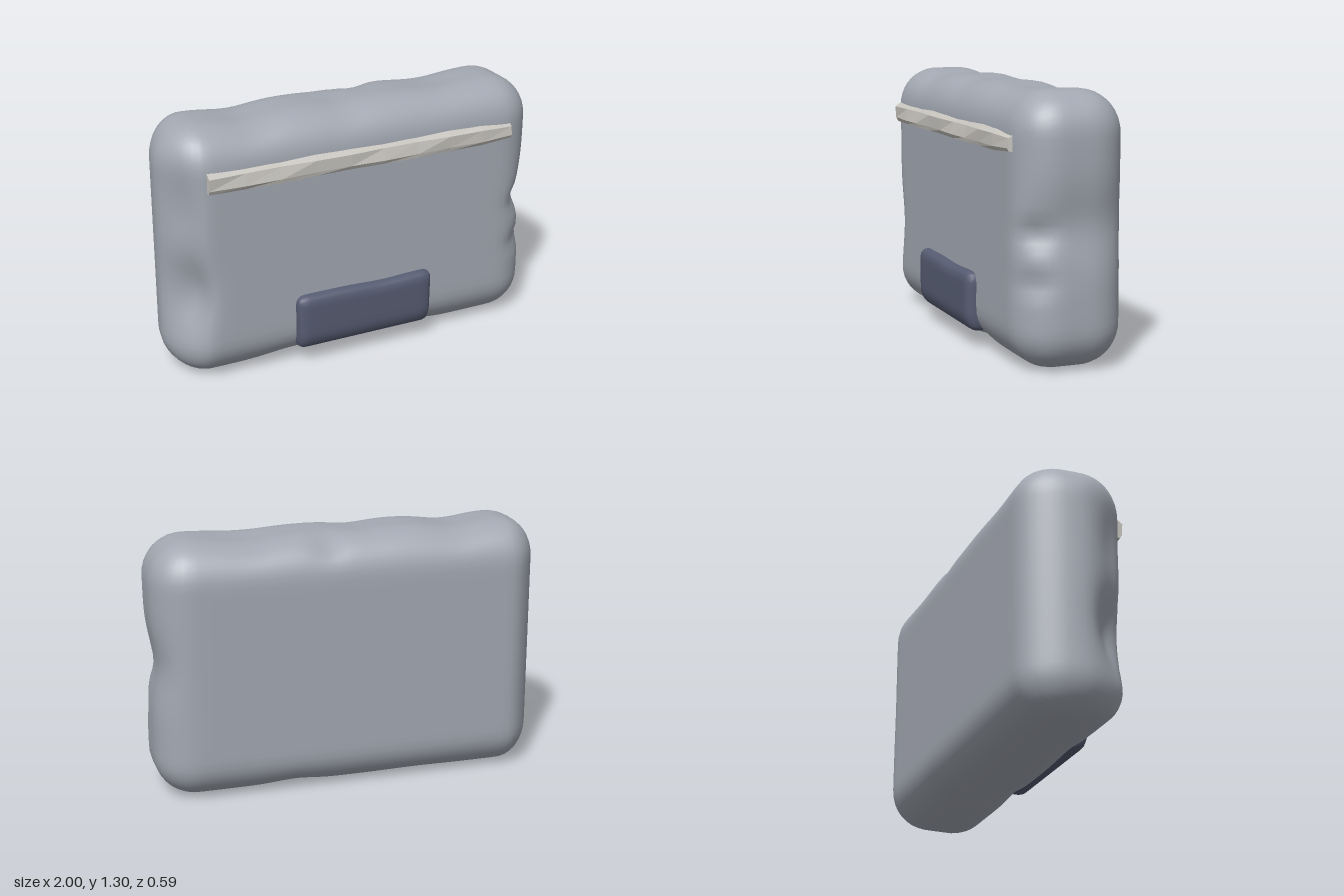
import * as THREE from 'three';
import { mergeVertices } from 'three/addons/utils/BufferGeometryUtils.js';

// Box with rounded edges and a dense grid; rule(v) then reshapes each vertex
function softBox(size, radius, segments, rule) {
  let geo = new THREE.BoxGeometry(...size, ...segments);
  geo.deleteAttribute('uv');
  geo.deleteAttribute('normal');
  geo = mergeVertices(geo, 1e-4);
  const pos = geo.attributes.position;
  const inner = new THREE.Vector3(...size).multiplyScalar(0.5).subScalar(radius);
  const outer = inner.clone().negate();
  const v = new THREE.Vector3();
  const core = new THREE.Vector3();
  for (let i = 0; i < pos.count; i++) {
    v.fromBufferAttribute(pos, i);
    core.copy(v).clamp(outer, inner);
    v.sub(core).setLength(radius).add(core);
    rule(v);
    pos.setXYZ(i, v.x, v.y, v.z);
  }
  geo.computeVertexNormals();
  return geo;
}

// Soft local push: centre, reach on each axis, shift
function push(v, [cx, cy, cz], [rx, ry, rz], [dx, dy, dz]) {
  const k = Math.exp(-(((v.x - cx) / rx) ** 2) - ((v.y - cy) / ry) ** 2 - ((v.z - cz) / rz) ** 2);
  v.x += dx * k;
  v.y += dy * k;
  v.z += dz * k;
}

// Folds and sags of the cloth
const dents = [
  [[-0.97, 0.46, 0.22], [0.13, 0.2, 0.14], [0.09, 0, -0.05]],
  [[-0.97, 0.9, 0.2], [0.1, 0.2, 0.12], [0.03, 0, -0.02]],
  [[1, 0.68, 0], [0.1, 0.16, 0.5], [-0.035, 0, 0]],
  [[0.95, 0.65, 0.2], [0.1, 0.06, 0.12], [-0.03, 0, -0.02]],
  [[0.95, 0.42, 0.2], [0.1, 0.05, 0.12], [-0.02, 0, -0.015]],
  [[0.3, 0, 0.05], [0.12, 0.12, 0.25], [0, 0.03, 0]],
  [[-0.35, 0, 0.1], [0.16, 0.12, 0.2], [0, 0.02, 0]],
  [[-0.55, 1.3, 0], [0.14, 0.12, 0.4], [0, -0.025, 0]],
  [[-0.05, 1.3, 0.05], [0.12, 0.12, 0.3], [0, -0.015, 0]],
  [[0.5, 1.3, -0.1], [0.18, 0.12, 0.25], [0, -0.025, 0]],
  [[0.12, 1.28, -0.22], [0.08, 0.1, 0.12], [0, -0.03, 0]],
];

function makeBody() {
  const geo = softBox([2, 1.3, 0.54], 0.205, [44, 30, 14], (v) => {
    v.y += 0.65;
    v.z -= 0.023;
    // the right flank comes to a blunt ridge
    if (v.x < -0.8) v.x += Math.min(0.05, Math.abs(v.z) * 0.2) * (-v.x - 0.8) / 0.2;
    for (const d of dents) push(v, ...d);
  });
  const mesh = new THREE.Mesh(geo, new THREE.MeshStandardMaterial({ color: 0xa3a8b2 }));
  mesh.name = 'body';
  return mesh;
}

// Faceted bar across the upper front
function makeStrip() {
  const profile = [[0.2, 1.01], [0.272, 1.01], [0.28, 1.03], [0.274, 1.09], [0.245, 1.113], [0.2, 1.113]];
  const shape = new THREE.Shape(profile.map(([z, y]) => new THREE.Vector2(-z, y)));
  const geo = new THREE.ExtrudeGeometry(shape, { depth: 1.66, steps: 9, bevelEnabled: false });
  geo.rotateY(Math.PI / 2);
  geo.translate(-0.82, 0, 0);
  const pos = geo.attributes.position;
  for (let i = 0; i < pos.count; i++) {
    const x = pos.getX(i), y = pos.getY(i), z = pos.getZ(i);
    // slight wobble, and a chamfered left end
    if (z > 0.23) pos.setZ(i, z - 0.006 * (1 + Math.sin(x * 9 + y * 40)));
    if (x > 0.83 && z > 0.23) pos.setXYZ(i, x - 0.01, 1.06 + (y - 1.06) * 0.75, z - 0.012);
  }
  geo.computeVertexNormals();
  const mesh = new THREE.Mesh(geo, new THREE.MeshStandardMaterial({ color: 0xc9c6c0, flatShading: true }));
  mesh.name = 'strip';
  return mesh;
}

// Padded tab low on the front, its lower edge following the body inward
function makePatch() {
  const geo = softBox([0.75, 0.3, 0.15], 0.045, [24, 12, 6], (v) => {
    v.x *= 1 + v.y * 0.06;
    v.y += 0.23 - 0.008 * Math.exp(-(((v.x - 0.1) / 0.14) ** 2)) * (v.y > 0.1 ? 1 : 0);
    v.z += 0.22;
    if (v.y < 0.16) v.z -= (0.16 - v.y) * 0.3;
  });
  const mesh = new THREE.Mesh(geo, new THREE.MeshStandardMaterial({ color: 0x565c72 }));
  mesh.name = 'patch';
  return mesh;
}

export function createModel() {
  const model = new THREE.Group();
  model.name = 'pouch';
  model.add(makeBody(), makeStrip(), makePatch());
  return model;
}
